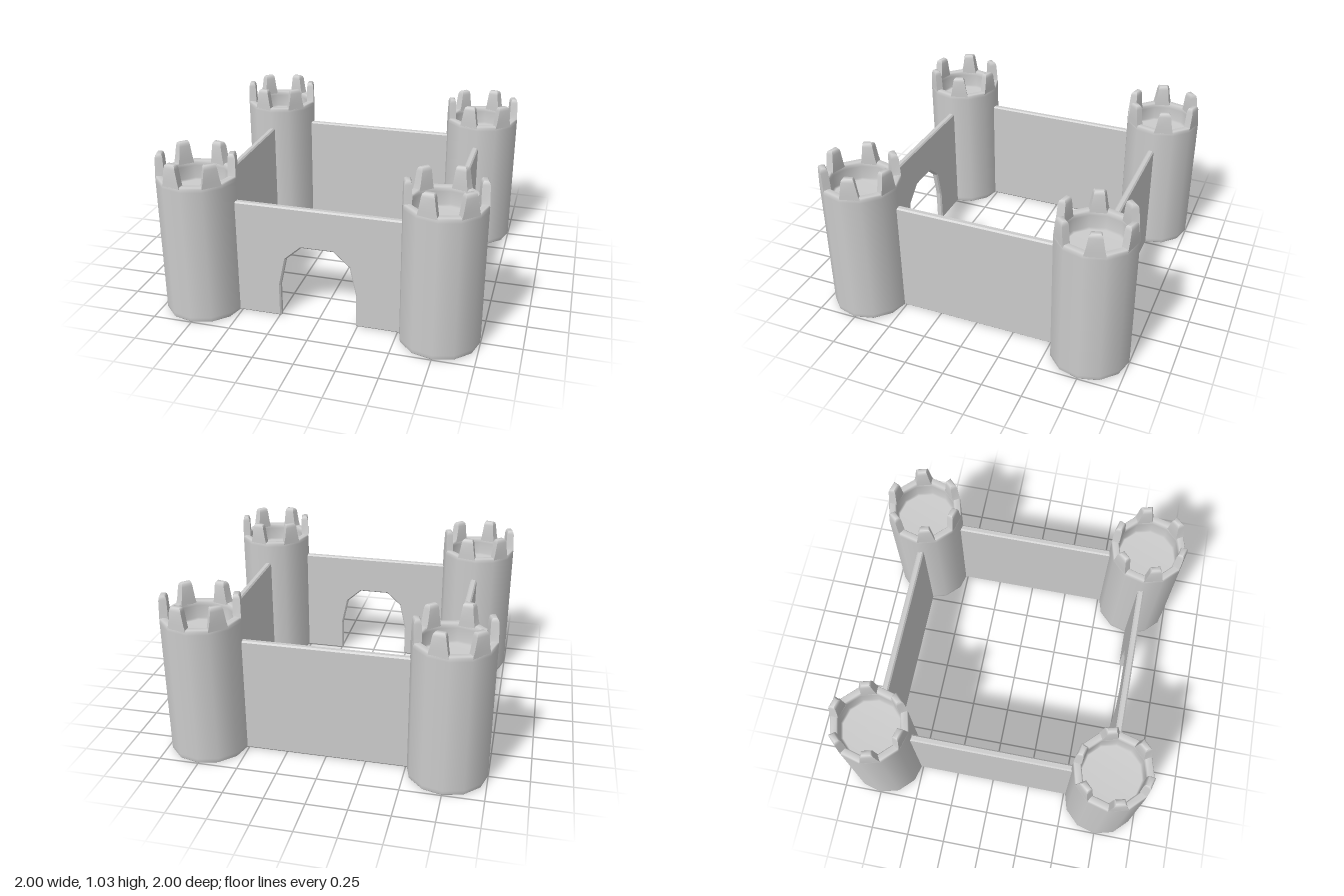
import * as THREE from 'three';
import { toCreasedNormals } from 'three/addons/utils/BufferGeometryUtils.js';

const material = new THREE.MeshStandardMaterial({ color: 0xcccccc });
const SIDES = 12, R_OUT = 0.247, R_IN = 0.197, TOWER = 0.753;

function add(parent, geometry, name) {
  const mesh = new THREE.Mesh(geometry, material);
  mesh.name = name;
  parent.add(mesh);
  return mesh;
}

// Twelve-sided tower body with a softened foot and a sunken platform
function towerBodyGeometry() {
  const profile = [
    [0, 0], [0.225, 0], [0.241, 0], [R_OUT, 0.008], [R_OUT, 0.03], [R_OUT, 0.87],
    [R_OUT, 0.89], [0.241, 0.9], [0.205, 0.9], [R_IN, 0.89], [R_IN, 0.87],
    [R_IN, 0.79], [0.185, 0.78], [0, 0.78],
  ].map(([x, y]) => new THREE.Vector2(x, y));
  return new THREE.LatheGeometry(profile, SIDES);
}

// Tapered battlement tooth over one face of the tower, from stacked sections
function merlonGeometry() {
  // y, half angle in degrees, outer radius, inner radius
  const sections = [
    [0.885, 15, R_OUT, R_IN], [0.905, 14, R_OUT, R_IN], [0.925, 12.8, R_OUT, R_IN],
    [1.005, 9.8, 0.246, 0.199], [1.022, 8.8, 0.242, 0.203], [1.03, 7, 0.235, 0.21],
  ];
  const positions = [], index = [];
  for (const [y, degrees, outer, inner] of sections) {
    const t = Math.tan(THREE.MathUtils.degToRad(degrees));
    const corners = [[outer, -1], [outer, 1], [inner, 1], [inner, -1]];
    for (const [r, side] of corners) {
      const z = r * Math.cos(Math.PI / SIDES);
      positions.push(side * z * t, y, z);
    }
  }
  for (let s = 0; s < sections.length - 1; s++) {
    for (let i = 0; i < 4; i++) {
      const a = s * 4 + i, b = s * 4 + (i + 1) % 4;
      index.push(a, b, b + 4, a, b + 4, a + 4);
    }
  }
  const top = (sections.length - 1) * 4;
  index.push(top, top + 1, top + 2, top, top + 2, top + 3);
  const geometry = new THREE.BufferGeometry();
  geometry.setAttribute('position', new THREE.Float32BufferAttribute(positions, 3));
  geometry.setIndex(index);
  return toCreasedNormals(geometry, 0.9);
}

// Thin upright panel with a small chamfer on every edge
function wallGeometry(outline) {
  const bevel = 0.009, thickness = 0.042;
  const shape = new THREE.Shape(outline.map(([x, y]) => new THREE.Vector2(x, y)));
  const geometry = new THREE.ExtrudeGeometry(shape, {
    depth: thickness - 2 * bevel, bevelEnabled: true, bevelSegments: 1,
    bevelSize: bevel, bevelThickness: bevel, bevelOffset: -bevel,
  });
  return geometry.translate(0, 0, -(thickness - 2 * bevel) / 2);
}

export function createModel() {
  const castle = new THREE.Group();
  castle.name = 'castle';

  // Corner towers, each with a tooth on every other face
  const body = towerBodyGeometry(), merlon = merlonGeometry();
  for (const x of [-1, 1]) {
    for (const z of [-1, 1]) {
      const tower = new THREE.Group();
      tower.name = (z > 0 ? 'front' : 'back') + (x > 0 ? 'Left' : 'Right') + 'Tower';
      tower.position.set(x * TOWER, 0, z * TOWER);
      add(tower, body, 'towerBody');
      for (let i = 0; i < 6; i++) {
        add(tower, merlon, 'merlon').rotation.y = -Math.PI / 12 + i * Math.PI / 3;
      }
      castle.add(tower);
    }
  }

  // Plain walls on three sides
  const half = 0.56, height = 0.748;
  const plain = wallGeometry([[-half, 0], [half, 0], [half, height], [-half, height]]);
  add(castle, plain, 'backWall').position.z = -0.743;
  const left = add(castle, plain, 'leftWall');
  left.position.x = 0.747;
  left.rotation.y = Math.PI / 2;
  const right = add(castle, plain, 'rightWall');
  right.position.x = -0.751;
  right.rotation.y = Math.PI / 2;

  // Front wall with the faceted gate arch
  const arch = [[0.24, 0], [0.24, 0.215], [0.2, 0.4], [0.1, 0.49]];
  const outline = [
    [-half, 0],
    ...arch.map(([x, y]) => [-x, y]),
    ...arch.slice().reverse(),
    [half, 0], [half, height], [-half, height],
  ];
  add(castle, wallGeometry(outline), 'frontGateWall').position.z = 0.757;

  return castle;
}
